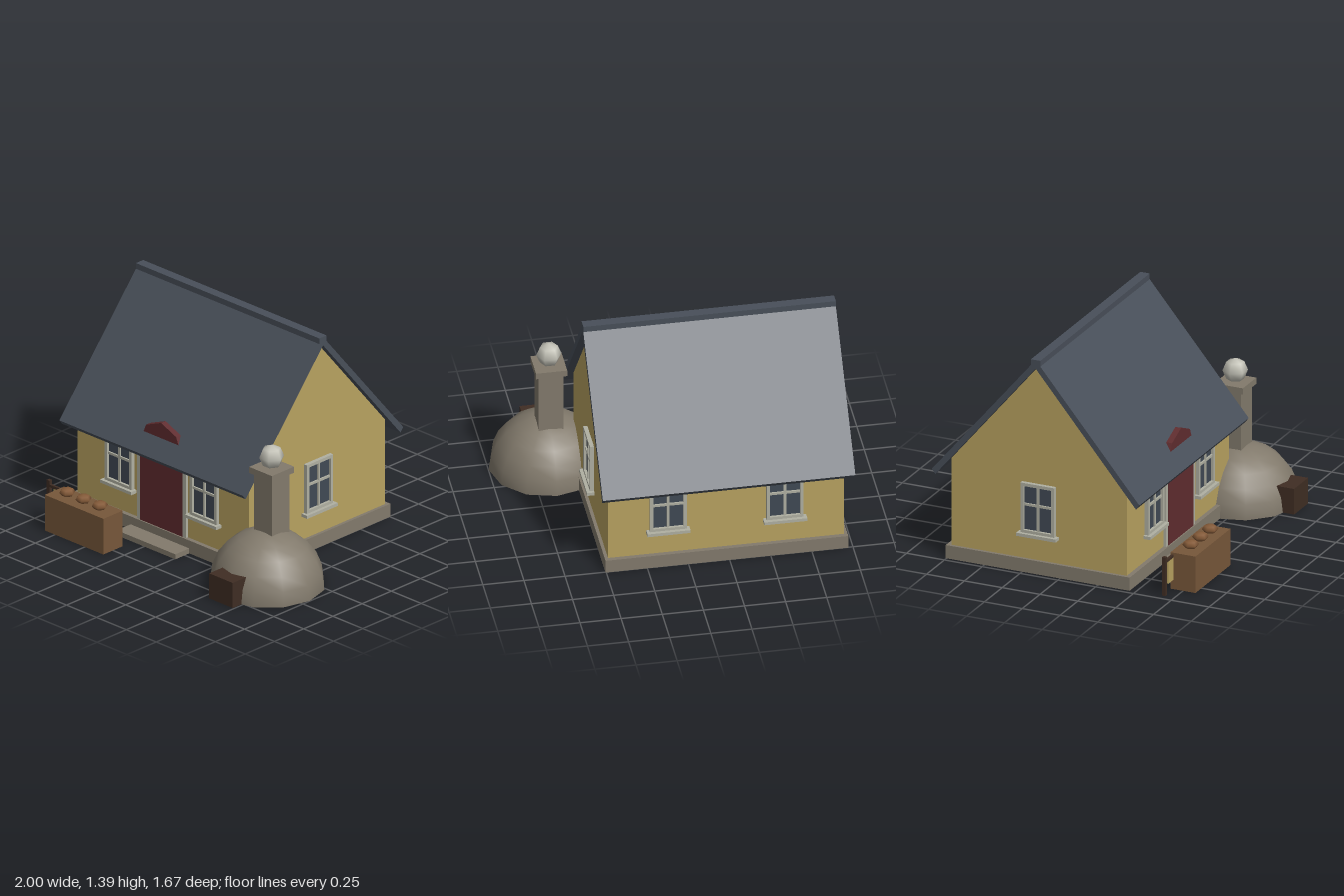
import * as THREE from 'three';

const mat = (name, color) => new THREE.MeshStandardMaterial({ name, color });

export function createModel() {
  const root = new THREE.Group();
  root.name = 'cottage';
  const wall = mat('ochre wall', 0xb8a260);
  const slate = mat('slate roof', 0x484f59);
  const stone = mat('stone', 0x827a6c);
  stone.side = THREE.DoubleSide;
  const trim = mat('pale trim', 0xb0b0a2);
  const glass = mat('window glass', 0x404954);
  const red = mat('door red', 0x602c2f);
  const wood = mat('counter wood', 0x77573a);
  const dark = mat('dark wood', 0x3f2d23);
  const crust = mat('bread crust', 0x845a38);
  const pale = mat('pale stone', 0xc2c1b6);

  const add = (name, geo, m, x = 0, y = 0, z = 0, parent = root) => {
    const mesh = new THREE.Mesh(geo, m);
    mesh.name = name;
    mesh.position.set(x, y, z);
    parent.add(mesh);
    return mesh;
  };
  // Box given by its minimum and maximum corners
  const box = (name, m, x0, x1, y0, y1, z0, z1, parent = root) =>
    add(name, new THREE.BoxGeometry(x1 - x0, y1 - y0, z1 - z0), m,
      (x0 + x1) / 2, (y0 + y1) / 2, (z0 + z1) / 2, parent);
  // Polygon in (distance toward front, height), extruded along x
  const prism = (name, m, pts, x0, x1, z) => {
    const shape = new THREE.Shape(pts.map(([d, y]) => new THREE.Vector2(-d, y)));
    const geo = new THREE.ExtrudeGeometry(shape, { depth: x1 - x0, bevelEnabled: false });
    return add(name, geo.rotateY(Math.PI / 2), m, x0, 0, z);
  };

  // House centre line and ridge
  const CX = -0.233, CZ = -0.147;

  // Plinth, gabled walls and front step
  box('plinth', stone, CX - 0.738, CX + 0.738, 0, 0.085, CZ - 0.608, CZ + 0.608);
  prism('walls', wall, [[-0.58, 0.085], [0.58, 0.085], [0.58, 0.645], [0, 1.34], [-0.58, 0.645]],
    CX - 0.718, CX + 0.718, CZ);
  box('frontStep', stone, -0.48, 0.01, 0, 0.033, 0.44, 0.58);

  // Roof slopes and ridge cap
  for (const s of [1, -1]) {
    prism(s > 0 ? 'frontRoof' : 'backRoof', slate,
      [[0, 1.34], [s * 0.663, 0.545], [s * 0.686, 0.575], [0, 1.395]], -1, 0.535, CZ);
  }
  box('ridgeCap', slate, -1, 0.535, 1.35, 1.395, CZ - 0.031, CZ + 0.031);

  // Arched door whose top pokes through the roof
  const arch = new THREE.Shape();
  arch.moveTo(-0.178, 0.085);
  arch.lineTo(0.178, 0.085);
  for (let i = 0; i <= 4; i++) {
    const a = (i * Math.PI) / 4;
    arch.lineTo(0.178 * Math.cos(a), 0.6 + 0.178 * Math.sin(a));
  }
  add('door', new THREE.ExtrudeGeometry(arch, { depth: 0.038, bevelEnabled: false }), red, CX, 0, 0.415);
  for (const s of [-1, 1]) {
    const x = CX + s * 0.191;
    box('doorJamb', trim, x - 0.014, x + 0.014, 0.085, 0.6, 0.42, 0.45);
  }

  // Cross-bar window, facing +z with its base on the ground line
  const makeWindow = (x, z, turn) => {
    const g = new THREE.Group();
    g.name = 'window';
    const rect = (P, w, y0, y1) => new P([[-w, y0], [w, y0], [w, y1], [-w, y1]]
      .map(([a, b]) => new THREE.Vector2(a, b)));
    const frame = rect(THREE.Shape, 0.112, 0.25, 0.577);
    frame.holes.push(rect(THREE.Path, 0.092, 0.275, 0.557));
    add('windowFrame', new THREE.ExtrudeGeometry(frame, { depth: 0.025, bevelEnabled: false }), trim, 0, 0, 0, g);
    box('windowPane', glass, -0.092, 0.092, 0.275, 0.557, 0, 0.008, g);
    box('verticalBar', trim, -0.008, 0.008, 0.275, 0.557, 0, 0.018, g);
    box('crossBar', trim, -0.092, 0.092, 0.43, 0.445, 0, 0.018, g);
    box('windowSill', trim, -0.131, 0.131, 0.237, 0.257, 0, 0.046, g);
    g.position.set(x, 0, z);
    g.rotation.y = turn;
    root.add(g);
  };
  for (const s of [-1, 1]) {
    makeWindow(CX + s * 0.355, CZ + 0.58, 0);
    makeWindow(CX + s * 0.355, CZ - 0.58, Math.PI);
    makeWindow(CX + s * 0.718, CZ, (s * Math.PI) / 2);
  }

  // Domed oven with dark mouth, chimney and ball finial
  const dome = add('ovenDome', new THREE.SphereGeometry(0.355, 12, 6, 0, Math.PI * 2, 0, Math.PI / 2),
    stone, 0.644, 0, 0.441);
  dome.scale.z = 0.975;
  box('ovenMouth', dark, 0.543, 0.74, 0, 0.165, 0.65, 0.835);
  box('chimney', stone, 0.565, 0.715, 0.2, 0.72, 0.325, 0.475);
  box('chimneyCap', stone, 0.545, 0.735, 0.715, 0.755, 0.305, 0.495);
  add('chimneyBall', new THREE.SphereGeometry(0.077, 6, 4), pale, 0.64, 0.823, 0.4);

  // Bread counter with loaves
  box('counter', wood, -0.835, -0.345, 0, 0.235, 0.667, 0.832);
  for (let i = 0; i < 3; i++) {
    const loaf = add('loaf', new THREE.SphereGeometry(0.05, 6, 4), crust, -0.727 + i * 0.136, 0.262, 0.75);
    loaf.scale.y = 0.55;
  }

  // Hanging sign on a post
  box('signPost', dark, -0.957, -0.935, 0, 0.248, 0.669, 0.691);
  box('signArm', dark, -0.957, -0.82, 0.205, 0.222, 0.672, 0.688);
  box('signBoard', wall, -0.905, -0.82, 0.06, 0.205, 0.674, 0.686);

  return root;
}
